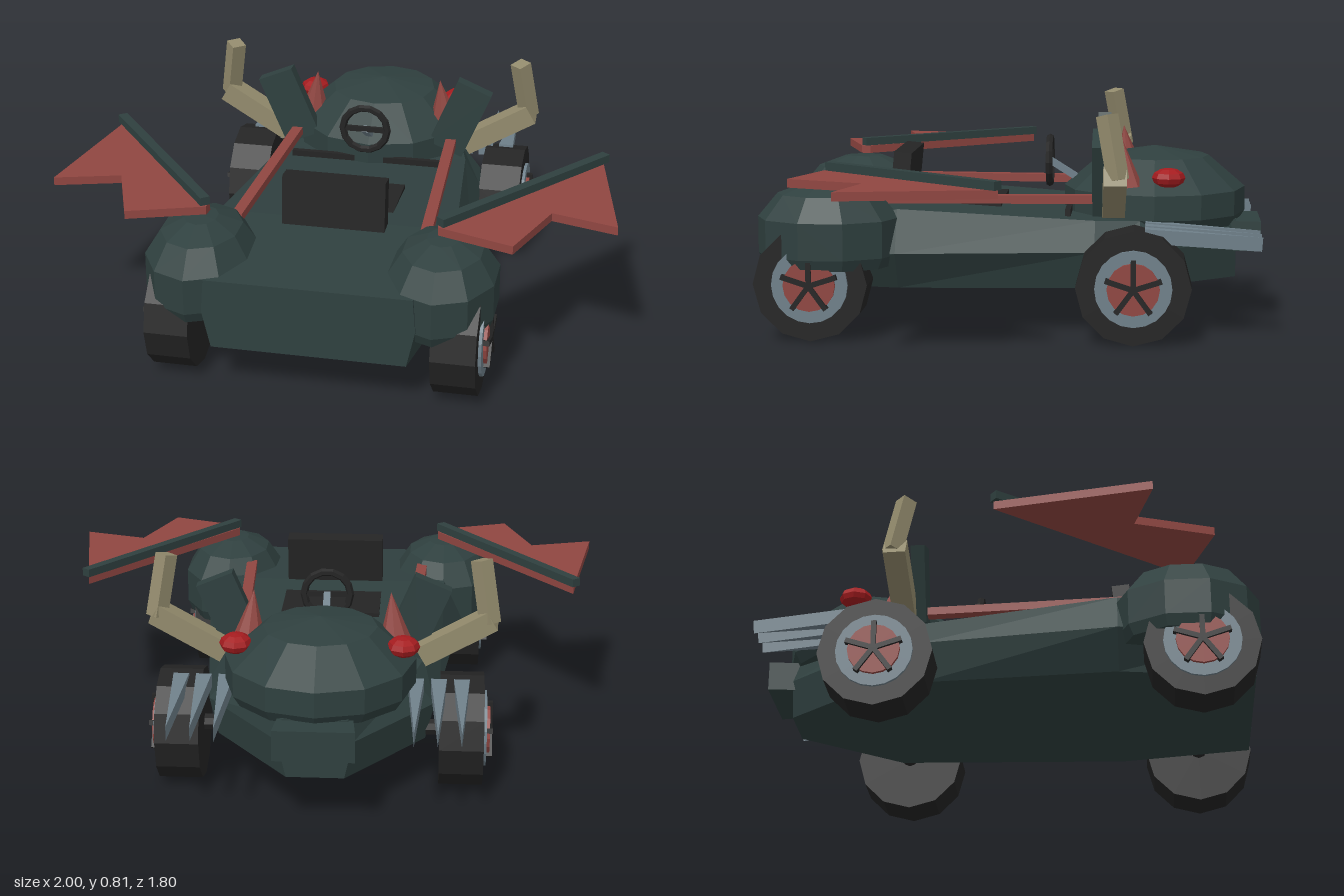
import * as THREE from 'three';

const mat = (name, color) => Object.assign(new THREE.MeshStandardMaterial({ color }), { name });
const V = (x, y, z) => new THREE.Vector3(x, y, z);

export function createModel() {
  const green = mat('dark green', 0x2f403f), black = mat('black', 0x242424);
  const red = mat('dull red', 0x904641), bright = mat('bright red', 0xa51c1f);
  const bone = mat('bone', 0x938b6d), grey = mat('steel grey', 0x6f808a);
  const root = new THREE.Group();
  root.name = 'dragonCar';

  // Faceted mesh, with its placement baked in so that it can be mirrored
  function add(name, geo, material, place) {
    const m = new THREE.Object3D();
    if (place) place(m);
    m.updateMatrix();
    const g = geo.index ? geo.toNonIndexed() : geo;
    g.applyMatrix4(m.matrix);
    g.computeVertexNormals();
    const mesh = new THREE.Mesh(g, material);
    mesh.name = name;
    root.add(mesh);
    return mesh;
  }
  function pair(name, geo, material, place) {
    const left = add(name + 'Left', geo, material, place);
    const g = left.geometry.clone(), p = g.attributes.position;
    for (let i = 0; i < p.count; i += 3) {
      const [a, b, c] = [0, 1, 2].map(k => V().fromBufferAttribute(p, i + k));
      [a, c, b].forEach((v, k) => p.setXYZ(i + k, -v.x, v.y, v.z));
    }
    add(name + 'Right', g, material);
  }
  const box = (w, h, d) => new THREE.BoxGeometry(w, h, d);
  const at = (x, y, z, rx = 0, ry = 0, rz = 0) => o => {
    o.position.set(x, y, z);
    o.rotation.set(rx, ry, rz);
  };
  // Square bar placed from a to b
  const between = (a, b) => o => {
    o.position.copy(a).add(b).multiplyScalar(0.5);
    o.lookAt(b);
  };
  const barPair = (name, a, b, w, h, m) => pair(name, box(w, h, a.distanceTo(b)), m, between(a, b));
  // Flat plate outlined in x and z, hanging down from its top
  const plate = (pts, depth) => new THREE.ExtrudeGeometry(
    new THREE.Shape(pts.map(p => new THREE.Vector2(...p))), { depth, bevelEnabled: false }).rotateX(Math.PI / 2);
  const dome = (pts, sides) => new THREE.LatheGeometry(pts.map(p => new THREE.Vector2(...p)), sides);

  // Hull: six-sided sections [z, bottom half width, middle, top, top height]
  const rings = [
    [0.88, 0.34, 0.37, 0.36, 0.42],
    [0.4, 0.42, 0.5, 0.43, 0.45],
    [-0.3, 0.38, 0.42, 0.36, 0.405],
    [-0.46, 0.37, 0.4, 0.32, 0.4],
    [-0.81, 0.1, 0.13, 0.11, 0.38],
  ].map(([z, b, m, t, y]) => [V(-b, 0.165, z), V(b, 0.165, z), V(m, 0.3, z), V(t, y, z), V(-t, y, z), V(-m, 0.3, z)]);
  const tris = [];
  for (let i = 0; i < rings.length - 1; i++) {
    for (let k = 0; k < 6; k++) {
      const n = (k + 1) % 6, a = rings[i][k], b = rings[i][n], c = rings[i + 1][n], d = rings[i + 1][k];
      tris.push(a, c, b, a, d, c);
    }
  }
  for (let k = 1; k < 5; k++) {
    const f = rings[0], r = rings.at(-1);
    tris.push(f[0], f[k], f[k + 1], r[0], r[k + 1], r[k]);
  }
  add('hull', new THREE.BufferGeometry().setFromPoints(tris), green);

  // Dragon head, jaw and dashboard
  add('head', dome([[0, 0.36], [0.31, 0.36], [0.335, 0.4], [0.335, 0.49], [0.2, 0.605], [0, 0.64]], 12), green,
    at(0, 0, -0.51));
  add('jaw', plate([[-0.11, -0.6], [0.11, -0.6], [0.14, -0.9], [-0.14, -0.9]], 0.11), green, at(0, 0.375, 0));
  add('dashboard', box(0.6, 0.05, 0.02), black, at(0, 0.41, -0.2));

  // Eyes, brow spikes, ears, horns
  pair('eye', new THREE.SphereGeometry(1, 8, 6), bright, o => {
    o.position.set(0.29, 0.553, -0.56);
    o.scale.set(0.058, 0.036, 0.06);
  });
  pair('browSpike', new THREE.ConeGeometry(0.06, 0.18, 8), red, at(0.25, 0.6, -0.4, 0.1, 0, 0.1));
  pair('ear', box(0.14, 0.28, 0.05), green, at(0.335, 0.575, -0.315, 0, 0, -0.4));
  barPair('hornBase', V(0.35, 0.45, -0.365), V(0.6, 0.595, -0.375), 0.08, 0.075, bone);
  barPair('hornTip', V(0.59, 0.58, -0.385), V(0.555, 0.8, -0.345), 0.055, 0.055, bone);

  // Rear blades
  for (const x of [0.335, 0.415, 0.495]) {
    pair('blade', plate([[-0.028, -0.48], [0.028, -0.48], [0, -0.89]], 0.05), grey, at(x, 0.435, 0, -0.07));
  }

  // Front fenders
  pair('fender', dome([[0, 0.25], [0.92, 0.25], [1, 0.29], [1, 0.42], [0.72, 0.505], [0.3, 0.545], [0, 0.55]], 10), green,
    o => {
      o.position.set(0.425, 0, 0.645);
      o.scale.set(0.195, 1, 0.255);
    });

  // Wings and side rails
  pair('wing', plate([[0.905, 0], [1, 0.535], [0.77, 0.47], [0.67, 0.745], [0.405, 0.655], [0.4, 0.62]], 0.03), red,
    at(0, 0.585, 0));
  barPair('wingSpar', V(0.41, 0.6, 0.645), V(0.915, 0.6, 0), 0.035, 0.03, green);
  barPair('sideRail', V(0.34, 0.475, 0.5), V(0.3, 0.475, -0.34), 0.04, 0.03, red);

  // Seat and steering wheel
  add('seatCushion', box(0.37, 0.06, 0.36), black, at(0, 0.413, 0.23));
  add('seatBack', box(0.37, 0.2, 0.065), black, at(0, 0.525, 0.42, -0.1));
  add('steeringWheel', new THREE.TorusGeometry(0.085, 0.014, 6, 14), black, at(0, 0.58, -0.12));
  add('steeringSpoke', box(0.16, 0.02, 0.012), black, at(0, 0.58, -0.12));
  add('steeringColumn', box(0.025, 0.025, 0.19), grey, between(V(0, 0.58, -0.12), V(0, 0.48, -0.28)));

  // Wheels: tyre, rim ring, hub disc and five spokes
  const disc = (r, w, n) => new THREE.CylinderGeometry(r, r, w, n).rotateZ(Math.PI / 2);
  for (const [end, z] of [['front', 0.69], ['rear', -0.44]]) {
    pair(end + 'Tyre', disc(0.202, 0.155, 12), black, at(0.4975, 0.2, z));
    pair(end + 'Rim', disc(0.135, 0.03, 20), grey, at(0.571, 0.2, z));
    pair(end + 'Hub', disc(0.092, 0.03, 16), red, at(0.583, 0.2, z));
    for (let i = 0; i < 5; i++) {
      const a = i * Math.PI * 2 / 5;
      pair(end + 'Spoke', box(0.03, 0.105, 0.018), black,
        at(0.593, 0.2 + 0.05 * Math.cos(a), z + 0.05 * Math.sin(a), a));
    }
    // Axle
    add(end + 'Axle', disc(0.03, 0.9, 8), black, at(0, 0.2, z));
  }
  return root;
}
